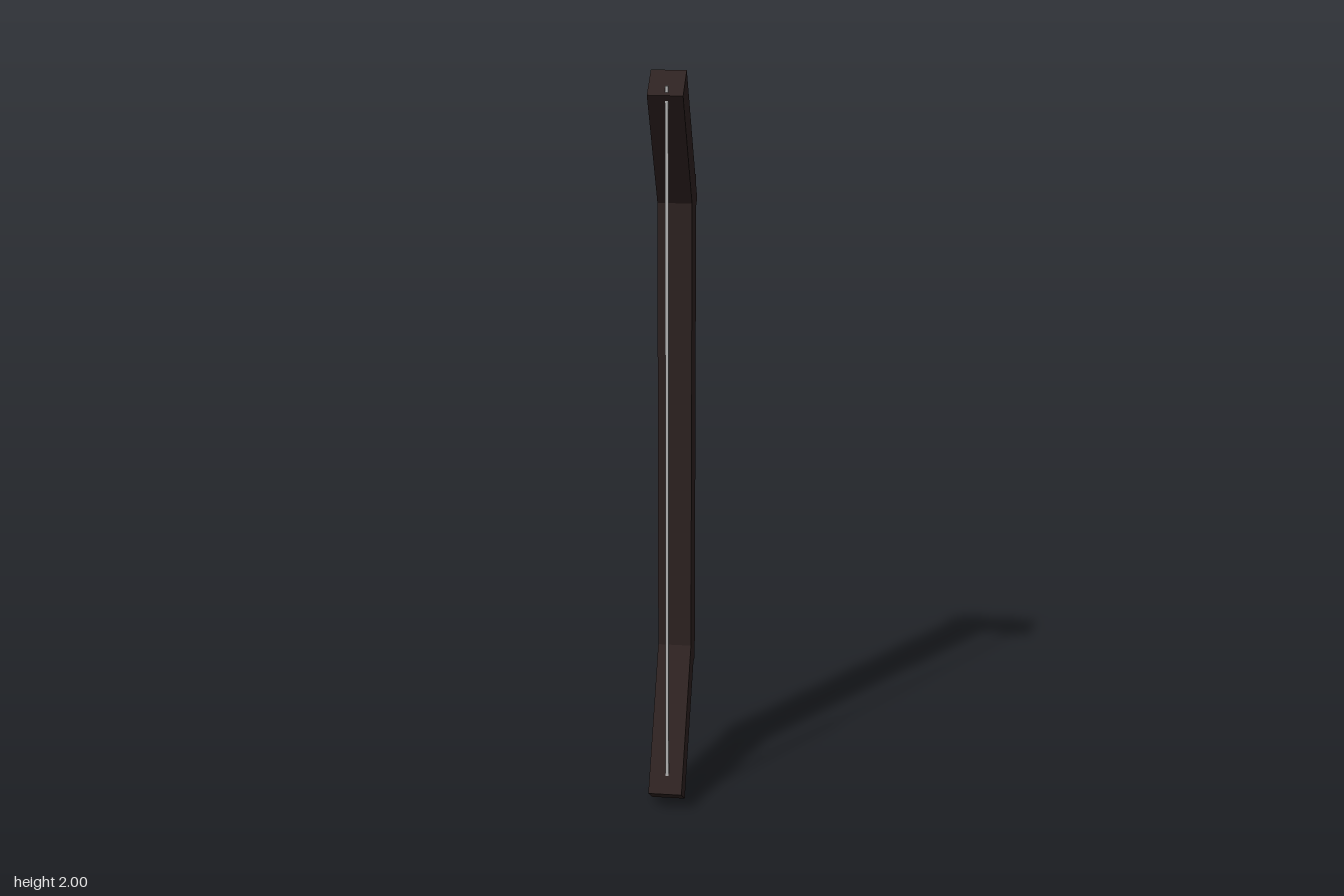
import * as THREE from 'three';

export function createModel() {
  const wood = new THREE.MeshStandardMaterial({ color: 0x2e2221 });
  wood.name = 'dark wood';
  const cord = new THREE.MeshStandardMaterial({ color: 0xb8b8b8 });
  cord.name = 'pale cord';

  const model = new THREE.Group();
  model.name = 'bow';

  function addBar(name, material, size, position, tilt = 0) {
    const bar = new THREE.Mesh(new THREE.BoxGeometry(...size), material);
    bar.name = name;
    bar.position.set(...position);
    bar.rotation.x = tilt;
    model.add(bar);
  }

  // Straight middle section
  addBar('grip', wood, [0.09, 1.37, 0.093], [0, 1.005, -0.0965]);

  // Limbs lean forward, with their ends crossing the grip
  const lean = 0.564;
  const limb = [0.09, 0.45, 0.093];
  addBar('upperLimb', wood, limb, [0, 1.785, -0.0085], lean);
  addBar('lowerLimb', wood, limb, [0, 0.215, 0.0085], -lean);

  // Taut string, its top end just poking out of the upper limb
  addBar('string', cord, [0.008, 1.9, 0.009], [0.003, 1.022, 0.137]);

  return model;
}
